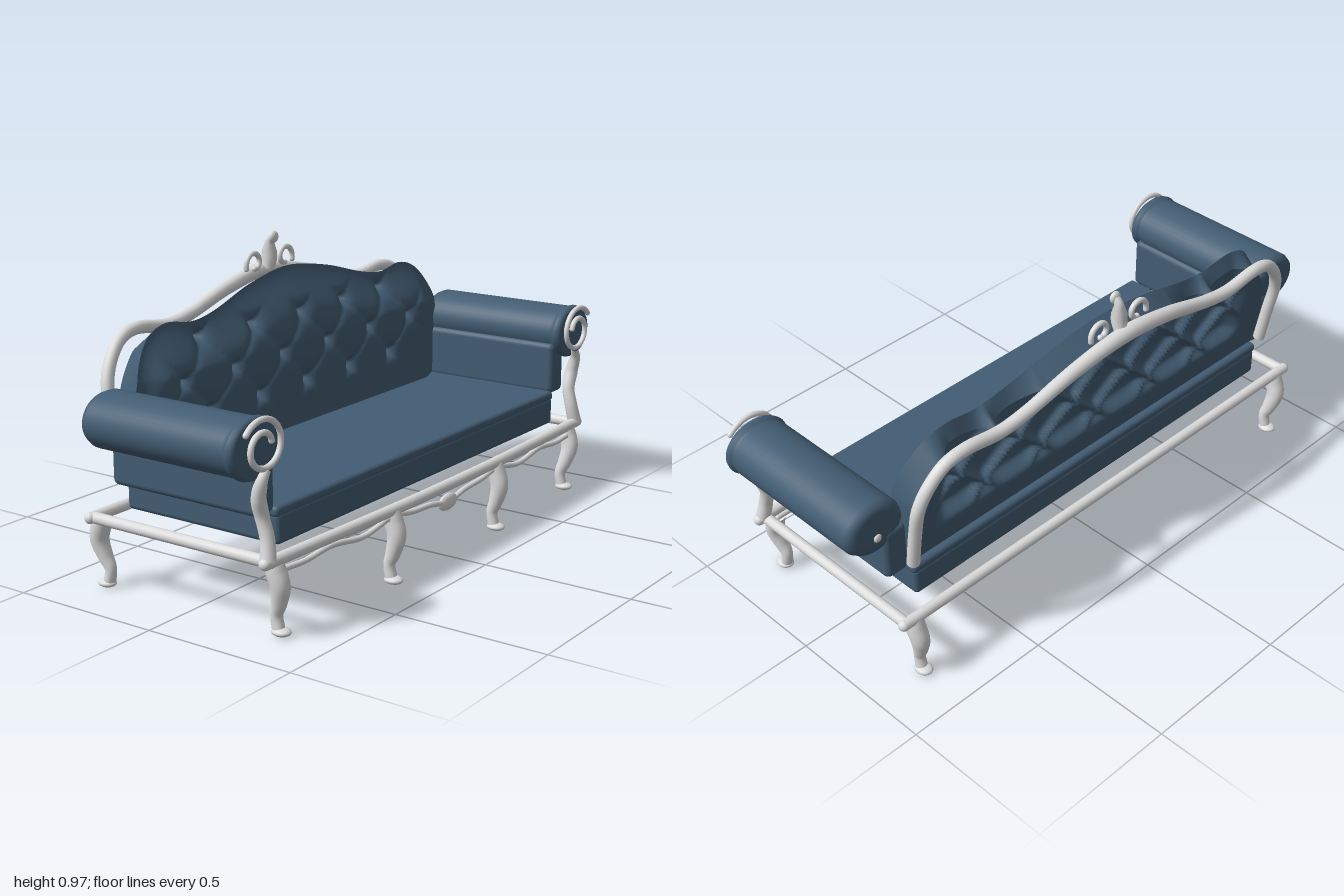
import * as THREE from 'three';
import { RoundedBoxGeometry } from 'three/addons/geometries/RoundedBoxGeometry.js';

export function createModel() {
  const model = new THREE.Group();
  model.name = 'sofa';
  const fabric = new THREE.MeshStandardMaterial({ color: 0x435d73 });
  fabric.name = 'blue upholstery';
  fabric.side = THREE.DoubleSide;
  const wood = new THREE.MeshStandardMaterial({ color: 0xdcdcdc });
  wood.name = 'white painted frame';

  const add = (name, geometry, material, x = 0, y = 0, z = 0) => {
    const mesh = new THREE.Mesh(geometry, material);
    mesh.name = name;
    mesh.position.set(x, y, z);
    model.add(mesh);
    return mesh;
  };
  const curve = pts => new THREE.CatmullRomCurve3(pts.map(p => new THREE.Vector3(...p)));
  // Tube whose radius follows a list of values along its path
  const taper = (pts, radii, segs = 32, sides = 14) => {
    const path = curve(pts);
    const g = new THREE.TubeGeometry(path, segs, 1, sides);
    const pos = g.attributes.position, v = new THREE.Vector3();
    for (let i = 0; i < pos.count; i++) {
      const t = Math.floor(i / (sides + 1)) / segs;
      const f = t * (radii.length - 1), k = Math.min(Math.floor(f), radii.length - 2);
      const r = THREE.MathUtils.lerp(radii[k], radii[k + 1], f - k);
      const c = path.getPointAt(t);
      v.fromBufferAttribute(pos, i).sub(c).multiplyScalar(r).add(c);
      pos.setXYZ(i, v.x, v.y, v.z);
    }
    return g;
  };
  const ball = (name, p, s) =>
    add(name, new THREE.SphereGeometry(1, 18, 12), wood, ...p).scale.set(...s);
  const tube = (name, pts, r, segs = 48) => {
    add(name, taper(pts, [r, r], segs), wood);
    for (const p of [pts[0], pts[pts.length - 1]]) ball(name + 'End', p, [r, r, r]);
  };
  const mirrored = pts => [...pts, ...pts.slice(0, -1).reverse().map(([x, y, z]) => [-x, y, z])];

  // Seat base and the thin cushion on top
  add('seatBase', new RoundedBoxGeometry(1.56, 0.095, 0.57, 3, 0.016), fabric, 0, 0.294, 0.01);
  add('seatCushion', new RoundedBoxGeometry(1.57, 0.034, 0.57, 3, 0.014), fabric, 0, 0.345, 0.01);

  // Frame rails
  tube('frontRail', mirrored([[0.89, 0.235, 0.333], [0.6, 0.235, 0.345], [0.3, 0.235, 0.355], [0, 0.235, 0.358]]), 0.018);
  tube('backRail', [[0.88, 0.235, -0.33], [0, 0.235, -0.33], [-0.88, 0.235, -0.33]], 0.018);

  // Wavy apron below the front rail, with a centre pendant
  tube('apron', mirrored([[0.82, 0.2, 0.335], [0.72, 0.197, 0.34], [0.6, 0.208, 0.345], [0.45, 0.192, 0.35], [0.3, 0.215, 0.355],
    [0.2, 0.202, 0.357], [0.1, 0.196, 0.358], [0, 0.18, 0.358]]), 0.009, 96);
  ball('apronPendant', [0, 0.18, 0.358], [0.052, 0.027, 0.014]);

  // Cabriole legs; dir turns the knee forwards or backwards, splay sideways
  const leg = (name, x, z, dir, splay) => {
    const at = (dx, y, dz) => [x + splay * dx, y, z + dir * dz];
    add(name, taper([at(0.015, 0.235, -0.012), at(0.016, 0.2, 0), at(0.012, 0.155, 0.012), at(0.002, 0.1, 0),
      at(-0.004, 0.06, -0.014), at(-0.004, 0.012, -0.006)], [0.028, 0.031, 0.029, 0.024, 0.018, 0.019]), wood);
    ball(name + 'Foot', at(-0.004, 0.013, 0.002), [0.026, 0.013, 0.031]);
  };

  for (const s of [-1, 1]) {
    const side = s > 0 ? 'left' : 'right';
    leg(side + 'FrontLeg', s * 0.82, 0.327, 1, s);
    leg(side + 'MiddleLeg', s * 0.3, 0.356, 1, 0);
    leg(side + 'BackLeg', s * 0.82, -0.33, -1, s);
    tube(side + 'SideRail', [[s * 0.87, 0.235, 0.335], [s * 0.87, 0.235, 0], [s * 0.87, 0.235, -0.33]], 0.018);

    // Arm: lower panel, rolled top and slightly larger front cap
    add(side + 'ArmPanel', new RoundedBoxGeometry(0.085, 0.18, 0.54, 4, 0.02), fabric, s * 0.823, 0.438, 0.017);
    const roll = new THREE.LatheGeometry([[0, -0.25], [0.06, -0.25], [0.078, -0.244], [0.086, -0.225], [0.086, 0.27],
      [0.082, 0.276], [0.088, 0.282], [0.091, 0.292], [0.088, 0.304], [0.08, 0.312], [0, 0.314]]
      .map(p => new THREE.Vector2(...p)), 40);
    roll.rotateX(Math.PI / 2);
    add(side + 'ArmRoll', roll, fabric, s * 0.89, 0.558, 0).scale.x = 1.22;
    ball(side + 'ArmButton', [s * 0.89, 0.53, -0.25], [0.014, 0.014, 0.008]);

    // Arm post and front scroll
    add(side + 'ArmPost', taper([[s * 0.875, 0.24, 0.332], [s * 0.865, 0.3, 0.322], [s * 0.868, 0.36, 0.308],
      [s * 0.885, 0.42, 0.31], [s * 0.885, 0.47, 0.322], [s * 0.87, 0.5, 0.327]],
    [0.024, 0.022, 0.021, 0.023, 0.02, 0.012]), wood);
    const spiral = [];
    for (let i = 0; i <= 36; i++) {
      const t = i / 36, a = Math.PI * (0.2 + 2.7 * t), r = 0.084 - 0.05 * t;
      spiral.push([s * (0.882 + 1.1 * r * Math.cos(a)), 0.565 + r * Math.sin(a), 0.327]);
    }
    tube(side + 'ArmScroll', spiral, 0.009, 90);

    // Curled leaves beside the crest
    const curl = [];
    for (let i = 0; i <= 20; i++) {
      const t = i / 20, a = Math.PI * (-0.1 + 1.6 * t), r = 0.042 - 0.024 * t;
      curl.push([s * (0.08 + r * Math.cos(a)), 0.875 + r * Math.sin(a), -0.34]);
    }
    tube(side + 'CrestCurl', curl, 0.009, 40);
  }

  // Crest finial
  add('crestStem', taper([[0, 0.85, -0.345], [0, 0.88, -0.341], [0, 0.915, -0.34], [0, 0.938, -0.337], [0, 0.955, -0.325]],
    [0.02, 0.025, 0.025, 0.016, 0.012]), wood);
  ball('crestTip', [0, 0.953, -0.322], [0.02, 0.02, 0.012]);

  // Carved frame behind the backrest
  add('backFrame', taper(mirrored([[0.79, 0.39, -0.28], [0.795, 0.52, -0.302], [0.795, 0.62, -0.322], [0.765, 0.69, -0.334],
    [0.71, 0.745, -0.343], [0.64, 0.762, -0.348], [0.5, 0.747, -0.348], [0.4, 0.76, -0.35], [0.2, 0.813, -0.358],
    [0, 0.842, -0.365]]), [0.02, 0.02, 0.021, 0.026, 0.021, 0.02, 0.02], 140), wood);

  // Backrest columns hang below this curved top edge
  const top = curve(mirrored([[0.8, 0.52, 0], [0.795, 0.62, 0], [0.76, 0.7, 0], [0.7, 0.762, 0], [0.62, 0.786, 0],
    [0.5, 0.772, 0], [0.4, 0.785, 0], [0.2, 0.838, 0], [0, 0.865, 0]])).getSpacedPoints(200).reverse();
  const smooth = THREE.MathUtils.smoothstep;

  // Diamond tufting: area mask, seam lines and button points
  const tuft = (x, y) => {
    const a = x / 0.24 + (y - 0.61) / 0.22, b = x / 0.24 - (y - 0.61) / 0.22;
    const da = Math.abs(a - Math.floor(a) - 0.5), db = Math.abs(b - Math.floor(b) - 0.5);
    return {
      mask: smooth(y, 0.44, 0.49) * (1 - smooth(y, 0.73, 0.78)) * (1 - smooth(Math.abs(x), 0.62, 0.7)),
      seam: Math.exp(-Math.min(da, db) * 16),
      button: Math.exp(-Math.hypot(da, db) * 11),
    };
  };
  const frontZ = (x, y, topY) => {
    const { mask, seam, button } = tuft(x, y);
    const puff = 0.035 * smooth(topY - y, 0, 0.15) * smooth(0.8 - Math.abs(x), 0, 0.12);
    return -0.247 - 0.26 * (Math.max(y, 0.64) - 0.785) + puff - mask * (0.01 * seam + 0.06 * button);
  };
  const backZ = (x, y) => {
    const { mask, seam, button } = tuft(x, y);
    return -0.25 - 0.165 * (y - 0.36) + mask * (0.045 * (1 - seam) - 0.018 * button);
  };
  const toBack = (x, y) => [x * (1 - 0.02 * smooth(Math.abs(x), 0.6, 0.8)), y - 0.05 * smooth(y, 0.5, 0.75)];

  const rows = 60;
  const surface = (name, points, cols, n) => {
    const index = [];
    for (let i = 0; i < cols - 1; i++) for (let j = 0; j < n; j++) {
      const a = i * (n + 1) + j, b = a + n + 1;
      index.push(a, b, b + 1, a, b + 1, a + 1);
    }
    const g = new THREE.BufferGeometry().setFromPoints(points);
    g.setIndex(index);
    g.computeVertexNormals();
    add(name, g, fabric);
  };
  const front = [], back = [];
  for (const p of top) for (let j = 0; j <= rows; j++) {
    const y = 0.36 + (p.y - 0.36) * j / rows;
    front.push(new THREE.Vector3(p.x, y, frontZ(p.x, y, p.y)));
    const [bx, by] = toBack(p.x, y);
    back.push(new THREE.Vector3(bx, by, backZ(bx, by)));
  }
  surface('tuftedFront', front, top.length, rows);
  surface('tuftedRear', back, top.length, rows);

  // Border joining the two tufted sheets around sides, top and bottom
  const n = rows + 1, loop = [];
  for (let j = 0; j < rows; j++) loop.push(j);
  for (let i = 0; i < top.length; i++) loop.push(i * n + rows);
  for (let j = rows - 1; j >= 0; j--) loop.push((top.length - 1) * n + j);
  for (let i = top.length - 2; i >= 0; i--) loop.push(i * n);
  const border = loop.flatMap(k => [0, 0.25, 0.5, 0.75, 1].map(t => front[k].clone().lerp(back[k], t)));
  surface('backBorder', border, loop.length, 4);
  return model;
}
